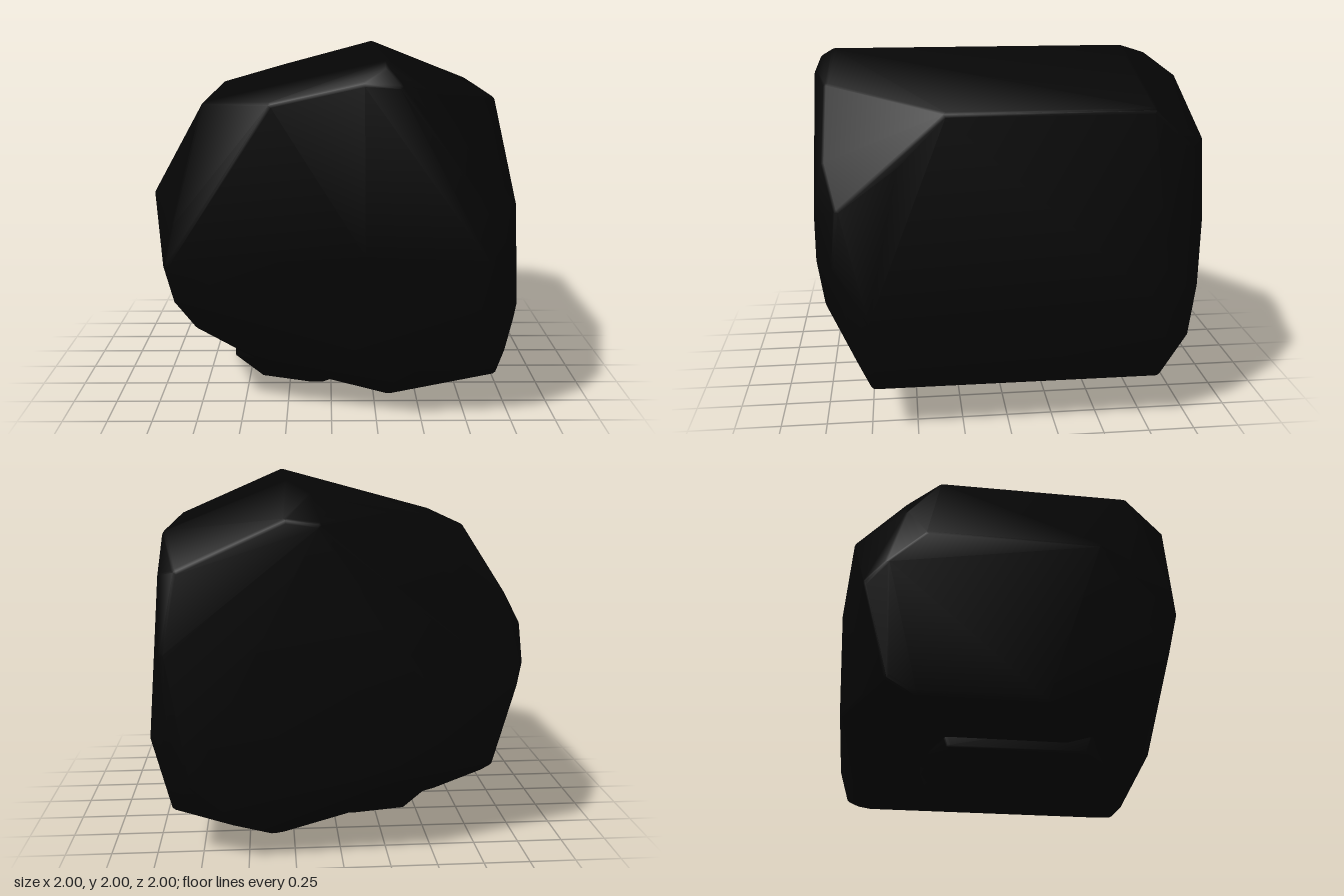
import * as THREE from 'three';
import { ConvexGeometry } from 'three/addons/geometries/ConvexGeometry.js';
import { toCreasedNormals } from 'three/addons/utils/BufferGeometryUtils.js';

// Convex stone through the given corners, each corner rounded by a small ball.
function stone(name, corners, radius, material) {
  const ball = new THREE.IcosahedronGeometry(radius, 1).getAttribute('position');
  const centre = new THREE.Vector3();
  const pts = corners.map(c => new THREE.Vector3(...c));
  pts.forEach(p => centre.addScaledVector(p, 1 / pts.length));
  const cloud = [];
  for (const p of pts) {
    const inner = new THREE.Vector3();
    for (const k of ['x', 'y', 'z']) {
      const d = p[k] - centre[k];
      inner[k] = p[k] - Math.sign(d) * Math.min(Math.abs(d), radius);
    }
    for (let i = 0; i < ball.count; i++) {
      cloud.push(new THREE.Vector3().fromBufferAttribute(ball, i).add(inner));
    }
  }
  const geometry = toCreasedNormals(new ConvexGeometry(cloud), 0.6);
  const mesh = new THREE.Mesh(geometry, material);
  mesh.name = name;
  return mesh;
}

export function createModel() {
  const group = new THREE.Group();
  group.name = 'rock';
  const material = new THREE.MeshStandardMaterial({ color: 0x050505 });

  // Long ridges running front to back: x, y, front z, back z
  const ridges = [
    [0.3, 2.0, 0.92, -0.71],
    [0.91, 1.76, 0.36, -0.75],
    [1.0, 0.66, 0.77, -0.87],
    [0.91, 0.27, 0.75, -0.83],
    [0.35, 0.12, 0.68, -0.82],
    [-0.57, 0.26, 0.25, -0.6],
    [-0.83, 0.37, 0.1, -0.62],
    [-1.0, 1.24, 0.36, -0.6],
    [-0.69, 1.76, 0.6, -0.52],
  ];
  const body = ridges.flatMap(([x, y, f, b]) => [[x, y, f], [x, y, b]]);

  // Front face and its chamfered rim
  body.push(
    [0.16, 1.91, 1], [0.36, 1.9, 1], [0.3, 1.97, 0.97], [0.84, 0.95, 1], [0.2, 1.0, 1],
    [0.52, 1.85, 0.95], [0.78, 1.5, 0.96], [0.83, 1.25, 1], [0.94, 1.3, 0.9], [0.93, 1.52, 0.6],
    [0.95, 0.95, 0.93], [0.97, 0.6, 0.84], [0.94, 0.42, 0.81],
    [0.8, 0.7, 0.97], [0.1, 0.45, 0.87], [0.4, 0.19, 0.75],
    [-0.33, 1.8, 0.92], [-0.85, 1.15, 0.75], [-0.9, 0.87, 0.76], [-0.86, 0.67, 0.72],
    [-0.76, 0.5, 0.65], [-0.4, 0.28, 0.62],
  );

  // Back face and its chamfered rim
  body.push(
    [0.1, 1.82, -1], [0.32, 1.84, -1], [0.02, 1.92, -0.84], [0.2, 1.95, -0.86],
    [-0.33, 1.85, -0.7], [0.92, 1.58, -0.94], [0.85, 1.6, -1], [0.93, 1.2, -1],
    [0.92, 0.78, -1], [0.98, 0.8, -0.93], [0.95, 0.6, -0.95], [0.82, 0.45, -1],
    [0.6, 0.22, -0.94], [0.4, 0.14, -0.88], [-0.3, 0.45, -0.98], [-0.34, 1.14, -1],
    [-0.48, 0.95, -1], [-0.92, 0.92, -0.89], [-0.88, 1.43, -0.7], [-0.97, 1.06, -0.79],
    [-0.84, 0.45, -0.76],
  );
  group.add(stone('rockBody', body, 0.03, material));

  // Low lump under the base, running front to back and sunk into the body
  const lump = [];
  for (const [x, y, f, b] of [
    [-0.43, 0.035, 0.24, -0.34],
    [-0.09, 0.0, 0.26, -0.32],
    [-0.03, 0.02, 0.3, -0.36],
    [-0.57, 0.25, 0.34, -0.42],
    [0.16, 0.14, 0.42, -0.47],
    [-0.55, 0.42, 0.4, -0.48],
    [0.14, 0.36, 0.5, -0.55],
    [-0.2, 0.3, 0.54, -0.6],
  ]) lump.push([x, y, f], [x, y, b]);
  group.add(stone('baseLump', lump, 0.025, material));

  return group;
}
